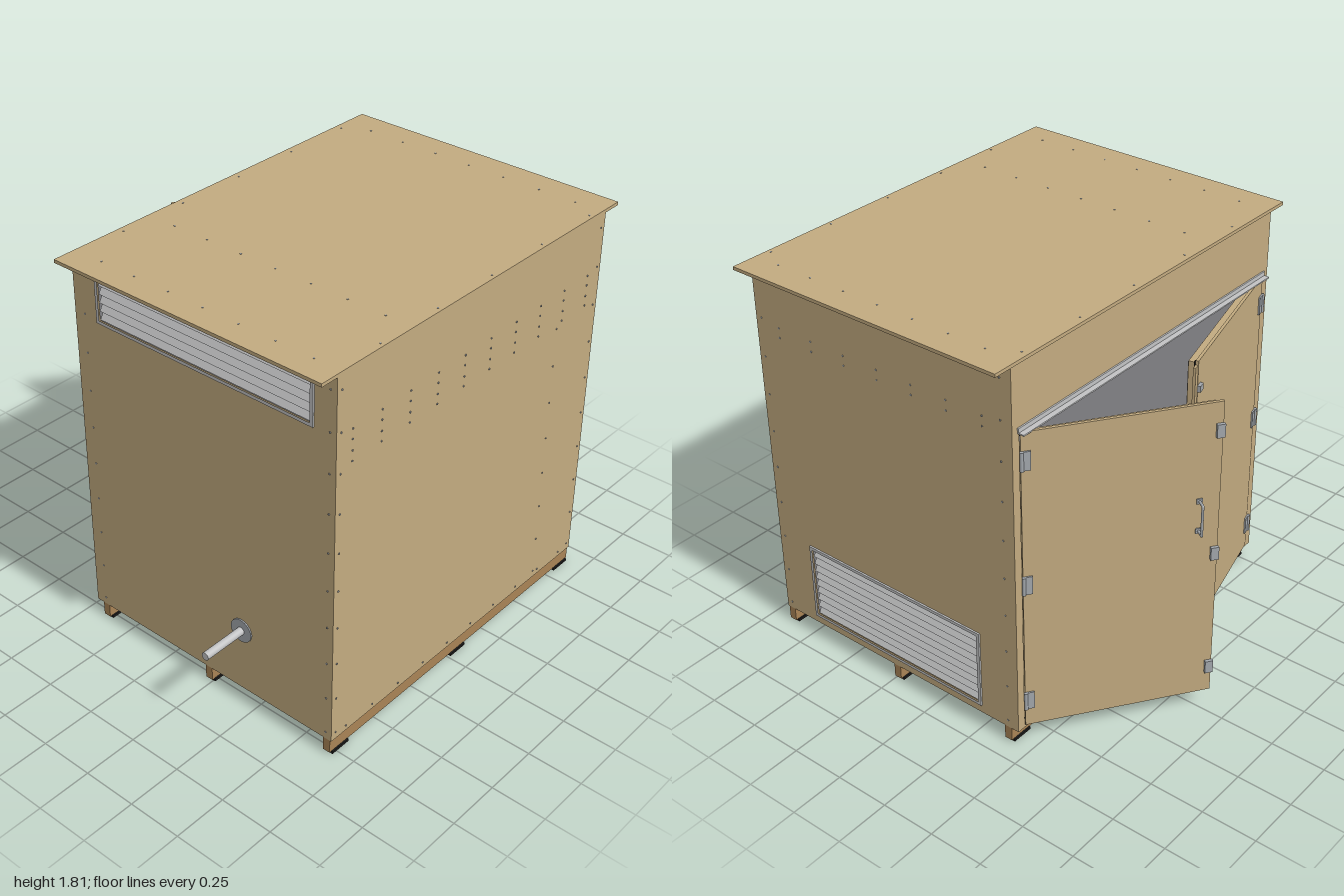
import * as THREE from 'three';
import { mergeGeometries } from 'three/addons/utils/BufferGeometryUtils.js';

const mat = (name, color) => new THREE.MeshStandardMaterial({ name, color });

export function createModel() {
  const model = new THREE.Group();
  model.name = 'equipmentShed';
  const wood = mat('tanPanel', 0xc3ab80), skidWood = mat('brownTimber', 0xa98456);
  const black = mat('blackRubber', 0x1c1b1a), vent = mat('lightGreyMetal', 0xc2c3c4);
  const lining = mat('greyLining', 0xb6b5ba), steel = mat('steel', 0xa3a8ad);

  const add = (parent, name, geo, m) => {
    const mesh = new THREE.Mesh(geo, m);
    mesh.name = name;
    parent.add(mesh);
    return mesh;
  };
  // box given by its limits on each axis
  const box = (parent, name, m, x0, x1, y0, y1, z0, z1) => {
    const b = add(parent, name, new THREE.BoxGeometry(Math.abs(x1 - x0), y1 - y0, z1 - z0), m);
    b.position.set((x0 + x1) / 2, (y0 + y1) / 2, (z0 + z1) / 2);
    return b;
  };

  const X0 = -0.785, X1 = 0.91, Y0 = 0.075, Y1 = 1.79, Z0 = -0.445, Z1 = 0.91, T = 0.04;
  const D0 = -0.745, D1 = 0.87, DY0 = 0.09, DY1 = 1.495;

  // roof, floor, front wall and back frame
  box(model, 'roof', wood, -0.87, 1, Y1, 1.805, -0.45, Z1);
  box(model, 'floor', wood, X0 + T, X1 - T, Y0, 0.1, Z0 + 0.02, Z1 - T);
  box(model, 'frontWall', wood, X0, X1, Y0, Y1, Z1 - T, Z1);
  box(model, 'backHeader', wood, X0 + T, X1 - T, DY1, Y1, Z0, Z0 + T);
  box(model, 'backSill', wood, X0 + T, X1 - T, Y0, DY0, Z0, Z0 + 0.02);

  // side walls with a louvred opening each
  function sideWall(side, z0, z1, y0, y1, count) {
    const g = new THREE.Group();
    g.name = side > 0 ? 'leftSide' : 'rightSide';
    model.add(g);
    const outer = side > 0 ? X1 : X0;
    const rect = (C, a, b, c, d) => {
      const p = new C();
      p.moveTo(-a, c); p.lineTo(-b, c); p.lineTo(-b, d); p.lineTo(-a, d); p.closePath();
      return p;
    };
    const panel = (name, outline, depth, m, x) => {
      const p = add(g, name, new THREE.ExtrudeGeometry(outline, { depth, bevelEnabled: false }), m);
      p.rotation.y = Math.PI / 2;
      p.position.x = x;
    };
    const wall = rect(THREE.Shape, Z0, Z1 - T, Y0, Y1);
    wall.holes.push(rect(THREE.Path, z0, z1, y0, y1));
    panel('sideWall', wall, T, wood, side > 0 ? X1 - T : X0);
    const rim = rect(THREE.Shape, z0 - 0.015, z1 + 0.015, y0 - 0.015, y1 + 0.015);
    rim.holes.push(rect(THREE.Path, z0, z1, y0, y1));
    panel('ventFrame', rim, 0.008, vent, side > 0 ? X1 : X0 - 0.008);
    const back = outer - side * (T - 0.002);
    box(g, 'ventBacking', black, back - 0.002, back + 0.002, y0, y1, z0, z1);
    const step = (y1 - y0) / count;
    for (let i = 0; i < count; i++) {
      const slat = add(g, 'ventSlat', new THREE.BoxGeometry(0.003, step * 1.06, z1 - z0), vent);
      slat.position.set(outer - side * 0.011, y0 + (i + 0.5) * step, (z0 + z1) / 2);
      slat.rotation.z = side * 0.5;
    }
  }
  sideWall(1, -0.235, 0.705, 0.13, 0.475, 9);
  sideWall(-1, -0.3, 0.79, 1.555, 1.745, 5);

  // grey inner lining and an inner baffle
  const L = 0.004, a = X0 + T, b = X1 - T, c = Z0 + T, d = Z1 - T;
  box(model, 'liningFront', lining, a, b, 0.1, Y1, d - L, d);
  box(model, 'liningRight', lining, a, a + L, 0.1, Y1, c, d);
  box(model, 'liningLeft', lining, b - L, b, 0.1, Y1, c, d);
  box(model, 'ceiling', lining, a, b, Y1 - L, Y1, c, d);
  box(model, 'baffle', lining, 0.64, b - L, 0.1, 1.24, -0.1, 0.5);
  box(model, 'baffleTop', wood, 0.63, b - L, 1.24, 1.26, -0.11, 0.5);

  // rubber seals around the doorway and drip rail above it
  box(model, 'sealTop', black, D0, D1, DY1 - 0.012, DY1, Z0 - 0.003, Z0 + 0.02);
  box(model, 'sealBottom', black, D0, D1, DY0, DY0 + 0.012, Z0 - 0.003, Z0 + 0.02);
  box(model, 'dripRail', vent, -0.755, 0.88, 1.497, 1.503, -0.476, Z0);
  box(model, 'dripRailFlange', vent, -0.755, 0.88, 1.497, 1.522, -0.452, Z0);

  // skids with rubber feet
  for (const z of [0.885, 0.235, -0.39]) {
    box(model, 'skid', skidWood, X0, X1, 0.01, Y0, z - 0.018, z + 0.018);
    for (const x of [-0.725, 0.0625, 0.85])
      box(model, 'foot', black, x - 0.05, x + 0.05, 0, 0.012, z - 0.025, z + 0.025);
  }

  // pipe with flange on the right side
  const cylX = (name, r, x0, x1, m) => {
    const p = add(model, name, new THREE.CylinderGeometry(r, r, x1 - x0, 32), m);
    p.rotation.z = Math.PI / 2;
    p.position.set((x0 + x1) / 2, 0.385, 0.43);
  };
  cylX('pipe', 0.018, -1, X0, vent);
  cylX('pipeFlange', 0.055, X0 - 0.006, X0, steel);

  // screw heads, merged per surface; axis is the direction they face
  function screws(points, axis) {
    const parts = points.map(([x, y, z]) => {
      const g = new THREE.CylinderGeometry(0.004, 0.004, 0.006, 8);
      if (axis === 'x') g.rotateZ(Math.PI / 2);
      if (axis === 'z') g.rotateX(Math.PI / 2);
      return g.translate(x, y, z);
    });
    add(model, 'screws', mergeGeometries(parts), steel);
  }
  const front = [], sides = [], top = [];
  for (let i = 0; i < 10; i++) {
    const x = -0.695 + i * 0.168;
    for (const y of [0.1, 1.395, 1.44, 1.49, 1.535]) front.push([x, y, Z1]);
    const y = 0.11 + i * 0.18;
    for (const px of [-0.76, 0.615, 0.885]) if (px !== 0.615 || y < 1.4) front.push([px, y, Z1]);
    for (const z of [-0.39, 0.88]) sides.push([X1, y, z], [X0, y, z]);
    if (i < 7) {
      const z = -0.3 + i * 0.18;
      for (const py of [1.49, 1.535]) sides.push([X1, py, z]);
      for (const px of [-0.76, -0.36, 0.88]) top.push([px, 1.804, z]);
    }
    for (const z of [-0.42, 0.89]) if (i % 2) top.push([x, 1.804, z]);
  }
  screws(front, 'z');
  screws(sides, 'x');
  screws(top, 'y');

  // doors, hinged at the origin of their group; s is the direction of the free edge
  function door(name, s, hingeX, angle, W) {
    const g = new THREE.Group();
    g.name = name;
    g.position.set(hingeX, 0, -0.45);
    g.rotation.y = s * angle;
    model.add(g);
    box(g, 'doorPanel', wood, 0, s * W, DY0, 1.5, 0, 0.013);
    box(g, 'doorCore', wood, s * 0.04, s * (W - 0.02), DY0 + 0.02, 1.48, 0.013, 0.05);
    box(g, 'doorLining', lining, s * 0.045, s * (W - 0.025), DY0 + 0.025, 1.475, 0.05, 0.053);
    box(g, 'doorSeal', black, s * (W - 0.02), s * (W - 0.008), DY0 + 0.01, 1.49, 0.013, 0.022);
    for (const y of [0.22, 0.8, 1.375]) {
      box(g, 'hingePlate', steel, s * -0.004, s * 0.038, y - 0.042, y + 0.042, -0.007, 0);
      const pin = add(g, 'hingePin', new THREE.CylinderGeometry(0.008, 0.008, 0.084, 16), steel);
      pin.position.set(s * 0.002, y, -0.006);
      const k = s < 0 ? 0.03 : 0.014;
      box(g, 'catchPlate', steel, s * (W - 0.03), s * (W + 0.004), y - k, y + k, -0.014, 0);
    }
    // overlap strip on the free edge of the first-closing leaf
    if (s > 0) box(g, 'overlapStrip', wood, s * (W - 0.02), s * (W + 0.025), DY0 + 0.02, 1.48, 0.002, 0.014);
    // bent-rod handle
    const hx = s * (W - 0.085);
    const path = new THREE.CurvePath();
    const pts = [[0.92, 0], [0.92, -0.04], [1.06, -0.04], [1.06, 0]].map(([y, z]) => new THREE.Vector3(hx, y, z));
    for (let i = 0; i < 3; i++) path.add(new THREE.LineCurve3(pts[i], pts[i + 1]));
    add(g, 'handle', new THREE.TubeGeometry(path, 44, 0.006, 8), steel);
    for (const y of [0.92, 1.06]) box(g, 'handleFoot', steel, hx - 0.012, hx + 0.012, y - 0.012, y + 0.012, -0.005, 0);
  }
  door('leftDoor', -1, D1, THREE.MathUtils.degToRad(35), 0.8);
  door('rightDoor', 1, D0, THREE.MathUtils.degToRad(15), 0.8);

  return model;
}
